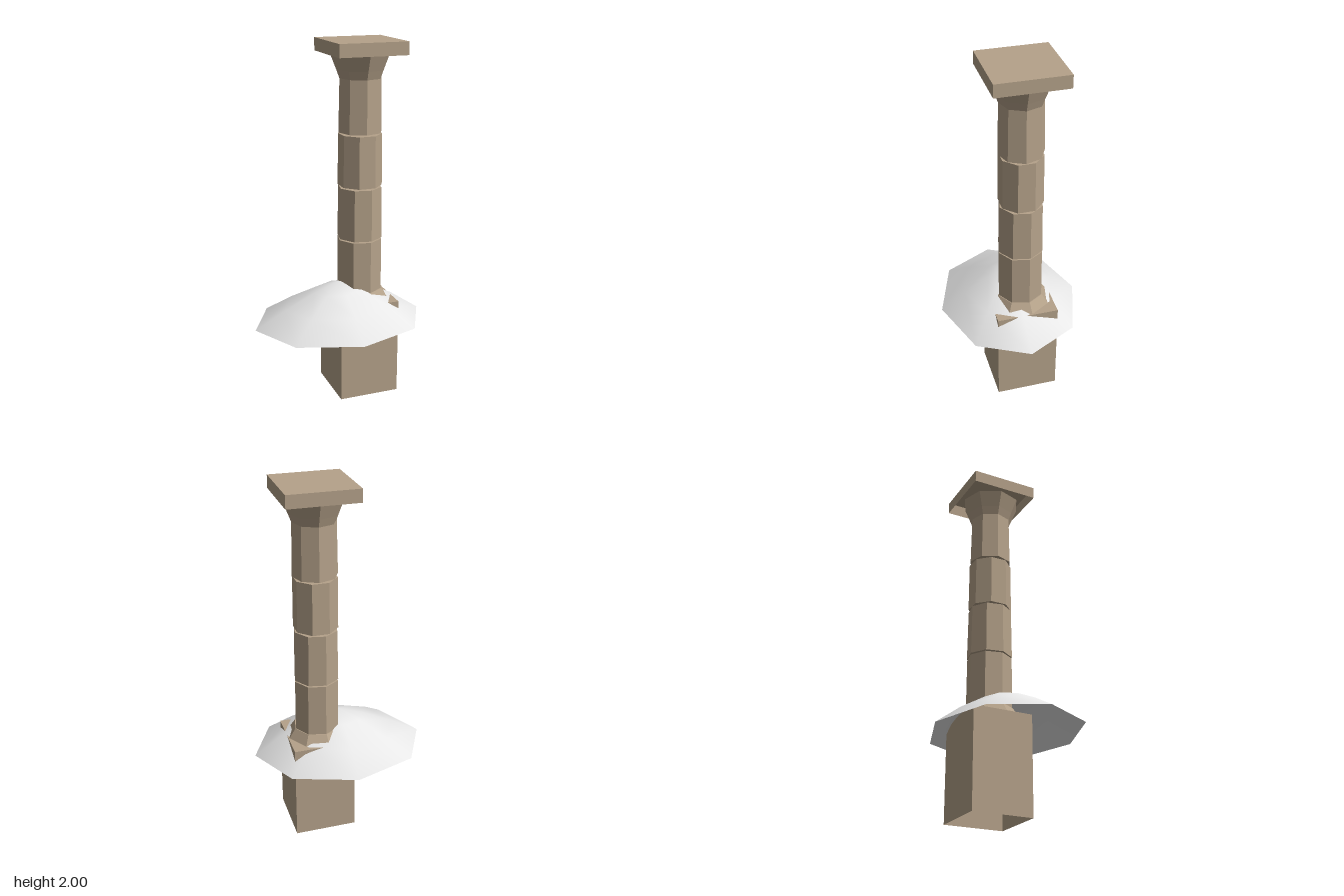
import * as THREE from 'three';
import { mergeVertices } from 'three/addons/utils/BufferGeometryUtils.js';

const CX = 0.135, CZ = -0.03; // column axis
const deg = Math.PI / 180;

export function createModel() {
  const group = new THREE.Group();
  const stone = new THREE.MeshStandardMaterial({ color: 0xb5a28a, flatShading: true, side: THREE.DoubleSide });
  stone.name = 'stone';
  const snow = new THREE.MeshStandardMaterial({ color: 0xe8e8e8, side: THREE.DoubleSide });
  snow.name = 'snow';

  const add = (name, geometry, material, x = 0, y = 0, z = 0) => {
    const mesh = new THREE.Mesh(geometry, material);
    mesh.name = name;
    mesh.position.set(x, y, z);
    group.add(mesh);
  };

  // Square block, hollow from below (bottom face left out)
  const block = (name, width, y0, y1) => {
    const g = new THREE.BoxGeometry(width, y1 - y0, width);
    const index = Array.from(g.index.array);
    index.splice(18, 6);
    g.setIndex(index);
    g.clearGroups();
    add(name, g, stone, CX, (y0 + y1) / 2, CZ);
  };

  // Eight-sided section of the column
  const section = (name, rBottom, rTop, y0, y1, turn) => {
    const g = new THREE.CylinderGeometry(rTop, rBottom, y1 - y0, 8, 1, false, turn * deg);
    add(name, g, stone, CX, (y0 + y1) / 2, CZ);
  };

  // Pedestal and slab on top
  block('pedestal', 0.345, 0, 0.555);
  block('topSlab', 0.385, 1.93, 2);

  // Flared foot
  section('columnFoot', 0.168, 0.132, 0.555, 0.61, 9);

  // Stacked drums, each turned a little, with thin gaps
  [
    [0.128, 0.126, 0.61, 0.906, 9],
    [0.127, 0.122, 0.914, 1.204, 11],
    [0.122, 0.12, 1.213, 1.5, 22.5],
    [0.123, 0.117, 1.51, 1.8, -4],
  ].forEach(([rb, rt, y0, y1, turn], i) => section('columnDrum' + (i + 1), rb, rt, y0, y1, turn));

  // Flared capital
  const capital = [[0.117, 1.8], [0.134, 1.845], [0.168, 1.93]].map(p => new THREE.Vector2(...p));
  add('capital', new THREE.LatheGeometry(capital, 8, -4 * deg), stone, CX, 0, CZ);

  // Snow mound: an oval eight-sided shell, a little fuller on the column side
  const profile = [[1, 0.44], [0.65, 0.545], [0.3, 0.626], [0, 0.667]].map(p => new THREE.Vector2(...p));
  let mound = new THREE.LatheGeometry(profile, 8);
  const pos = mound.attributes.position;
  for (let i = 0; i < pos.count; i++) {
    const x = pos.getX(i), z = pos.getZ(i), r = Math.hypot(x, z);
    pos.setXYZ(i, x * 0.49, pos.getY(i) + 0.05 * x * (1 - r), z * 0.398);
  }
  mound.deleteAttribute('uv');
  mound.deleteAttribute('normal');
  mound = mergeVertices(mound, 1e-4);
  mound.computeVertexNormals();
  add('snowMound', mound, snow);

  return group;
}
